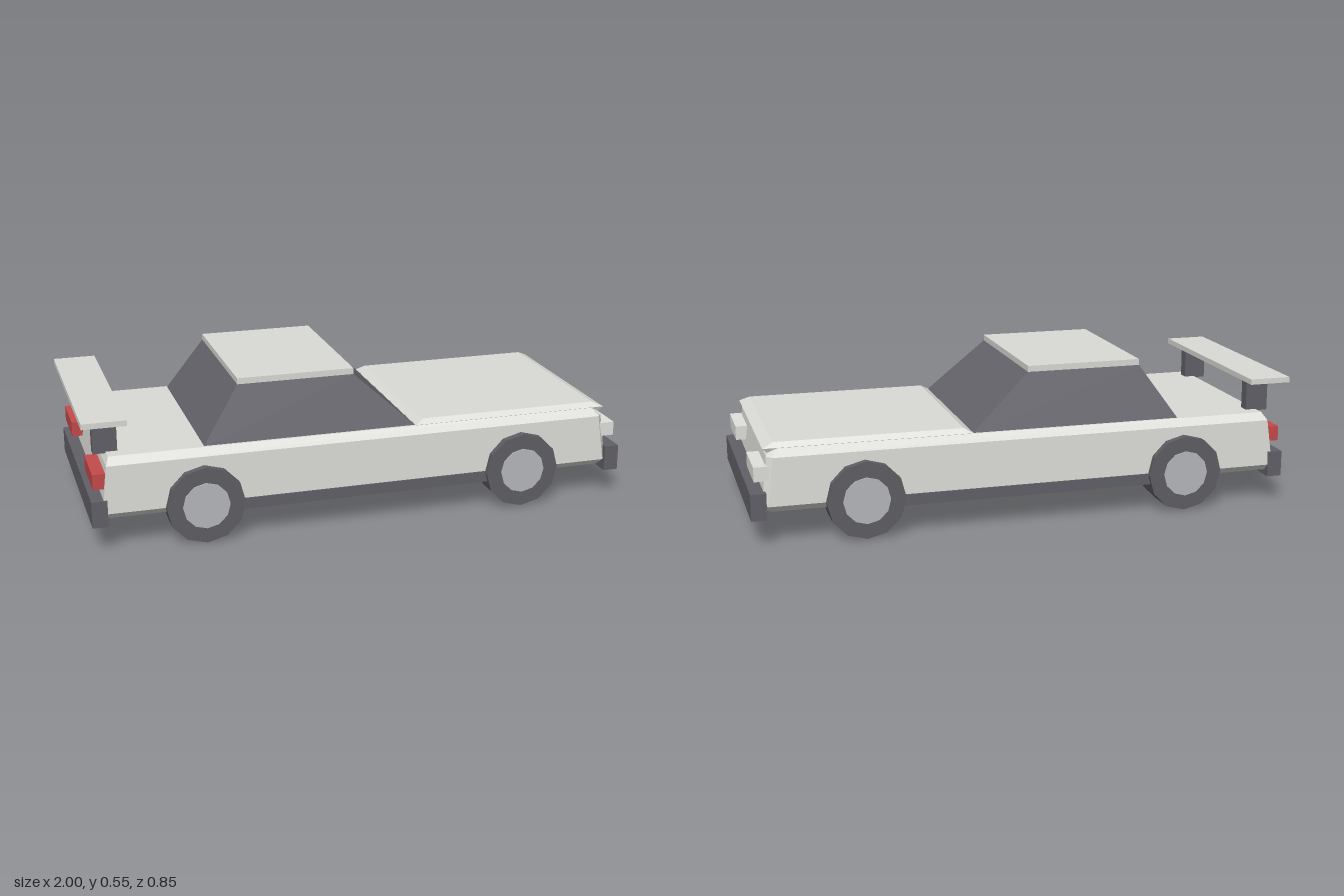
import * as THREE from 'three';

const mat = (name, color) => {
  const m = new THREE.MeshStandardMaterial({ color });
  m.name = name;
  return m;
};

// Solid through stacked horizontal rings; each ring is { y, pts: [[x, z], ...] }, counter-clockwise from above
function loft(rings) {
  const pos = [];
  const tri = (...ps) => ps.forEach((p) => pos.push(...p));
  const P = rings.map((r) => r.pts.map(([x, z]) => [x, r.y, z]));
  const n = P[0].length;
  for (let k = 0; k < P.length - 1; k++) {
    for (let i = 0; i < n; i++) {
      const j = (i + 1) % n;
      tri(P[k][i], P[k][j], P[k + 1][j]);
      tri(P[k][i], P[k + 1][j], P[k + 1][i]);
    }
  }
  const top = P[P.length - 1], bottom = P[0];
  for (let i = 1; i < n - 1; i++) {
    tri(top[0], top[i], top[i + 1]);
    tri(bottom[0], bottom[i + 1], bottom[i]);
  }
  const g = new THREE.BufferGeometry();
  g.setAttribute('position', new THREE.Float32BufferAttribute(pos, 3));
  g.computeVertexNormals();
  return g;
}

// Plan outline from back x to front x with cut front corners
const ring = (y, back, front, half, cutX = 0.02, cutZ = 0.025) => ({
  y,
  pts: [
    [front - cutX, half], [front, half - cutZ], [front, cutZ - half],
    [front - cutX, -half], [back, -half], [back, half],
  ],
});
const rect = (y, back, front, half) => ({
  y, pts: [[front, half], [front, -half], [back, -half], [back, half]],
});

export function createModel() {
  const car = new THREE.Group();
  car.name = 'car';
  const paint = mat('body paint', 0xdadad6);
  const trim = mat('dark trim', 0x606067);
  const glass = mat('tinted glass', 0x65656c);
  const tyreMat = mat('tyre rubber', 0x5e5e64);
  const metal = mat('wheel metal', 0xb6b8bc);
  const lampWhite = mat('headlight', 0xe0e0dc);
  const lampRed = mat('tail light red', 0xc44a4a);

  const add = (name, geometry, material, parent = car) => {
    const m = new THREE.Mesh(geometry, material);
    m.name = name;
    parent.add(m);
    return m;
  };
  // Box given by its limits on each axis
  const box = (name, material, [x0, x1], [y0, y1], [z0, z1]) => {
    const m = add(name, new THREE.BoxGeometry(x1 - x0, y1 - y0, z1 - z0), material);
    m.position.set((x0 + x1) / 2, (y0 + y1) / 2, (z0 + z1) / 2);
    return m;
  };

  // Lower body with tucked sill, sloped flanks and bevelled shoulders
  add('body', loft([
    ring(0.115, -0.925, 0.945, 0.375),
    ring(0.14, -0.943, 0.958, 0.4),
    ring(0.31, -0.922, 0.937, 0.39),
    ring(0.335, -0.91, 0.92, 0.36),
  ]), paint);

  // Raised hood with an overhanging front lip
  add('hood', loft([
    rect(0.315, 0.22, 0.925, 0.352),
    rect(0.336, 0.205, 0.948, 0.36),
    rect(0.353, 0.235, 0.91, 0.342),
  ]), paint);

  // Cabin and roof
  add('cabinGlass', loft([
    rect(0.33, -0.578, 0.208, 0.353),
    rect(0.531, -0.44, -0.015, 0.298),
  ]), glass);
  box('roof', paint, [-0.44, -0.015], [0.531, 0.553], [-0.298, 0.298]);

  // Underside and side skirts
  box('sideSkirts', trim, [-0.5, 0.52], [0.105, 0.145], [-0.405, 0.405]);

  // Bumpers
  box('frontBumper', trim, [0.945, 1], [0.095, 0.19], [-0.403, 0.403]);
  box('rearBumper', trim, [-0.98, -0.925], [0.095, 0.19], [-0.403, 0.403]);

  // Rear wing board
  box('wingBoard', paint, [-1, -0.845], [0.452, 0.472], [-0.398, 0.398]);

  for (const s of [1, -1]) {
    const side = s > 0 ? 'right' : 'left';
    const span = (a, b) => (s > 0 ? [a, b] : [-b, -a]);
    box(`${side}WingPost`, trim, [-0.955, -0.87], [0.33, 0.452], span(0.27, 0.31));
    box(`${side}Headlight`, lampWhite, [0.925, 0.984], [0.228, 0.28], span(0.18, 0.385));
    box(`${side}TailLight`, lampRed, [-0.97, -0.92], [0.228, 0.283], span(0.18, 0.385));

    // Wheels: twelve-sided tyre with a flat hub plate
    for (const [end, x] of [['Front', 0.602], ['Rear', -0.585]]) {
      const wheel = new THREE.Group();
      wheel.name = `${side}${end}Wheel`;
      wheel.position.set(x, 0.14, 0);
      car.add(wheel);
      const tyreGeo = new THREE.CylinderGeometry(0.14, 0.14, 0.118, 12).toNonIndexed();
      tyreGeo.computeVertexNormals();
      const tyre = add('tyre', tyreGeo, tyreMat, wheel);
      tyre.rotation.x = Math.PI / 2;
      tyre.position.z = s * 0.36;
      const hubGeo = new THREE.CylinderGeometry(0.084, 0.084, 0.02, 12).toNonIndexed();
      hubGeo.computeVertexNormals();
      const hub = add('hub', hubGeo, metal, wheel);
      hub.rotation.x = Math.PI / 2;
      hub.position.z = s * 0.414;
    }
  }
  return car;
}
